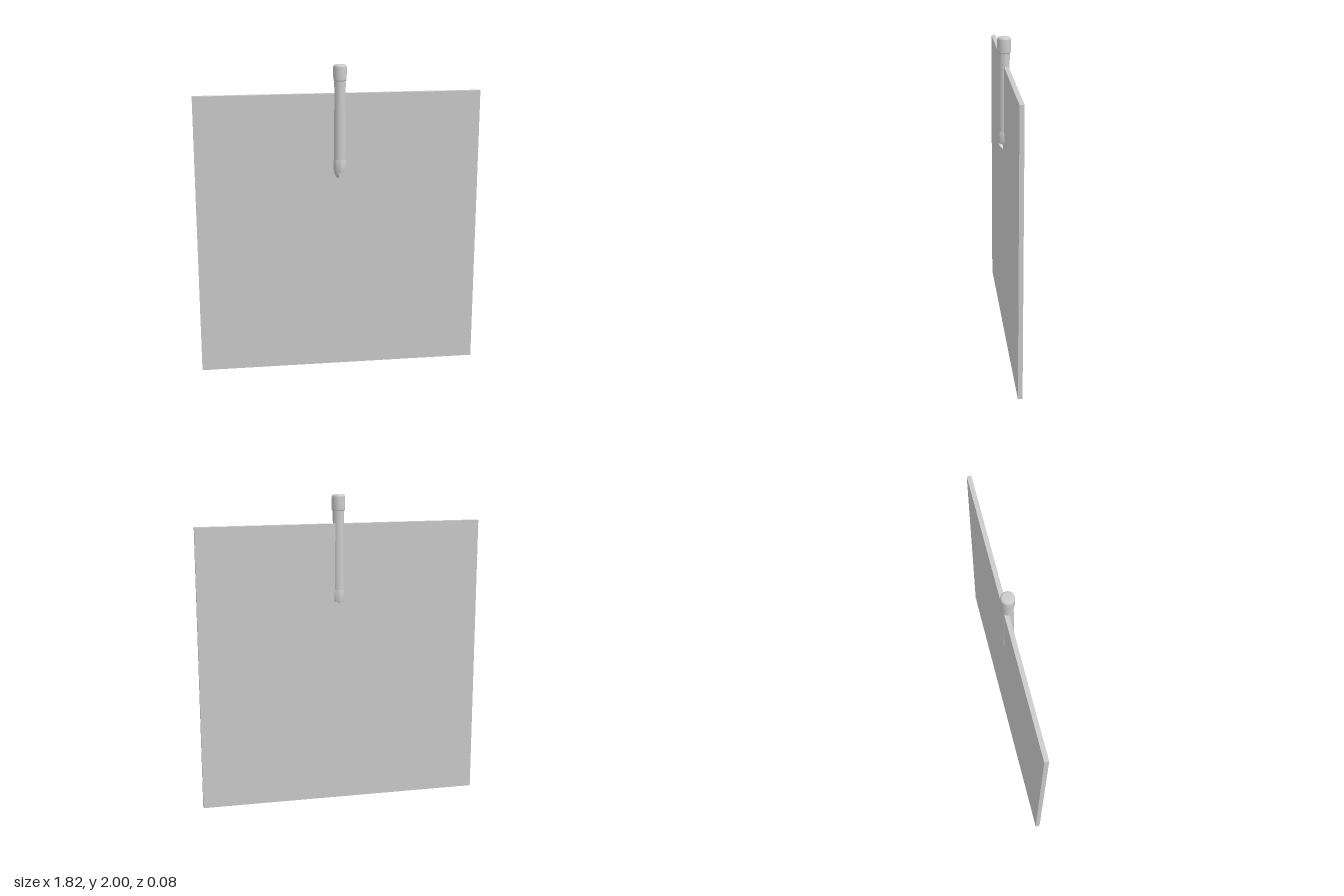
import * as THREE from 'three';

const grey = new THREE.MeshStandardMaterial({ color: 0xcccccc, side: THREE.DoubleSide });

function lathe(name, points, segments = 32, start = 0, sweep = Math.PI * 2) {
  const profile = points.map(([r, y]) => new THREE.Vector2(r, y));
  const mesh = new THREE.Mesh(new THREE.LatheGeometry(profile, segments, start, sweep), grey);
  mesh.name = name;
  return mesh;
}

export function createModel() {
  const model = new THREE.Group();
  model.name = 'panelOnHandle';

  // Thin square sheet standing upright
  const panel = new THREE.Mesh(new THREE.BoxGeometry(1.82, 1.82, 0.028), grey);
  panel.name = 'panel';
  panel.position.set(0, 0.91, -0.01);
  model.add(panel);

  // Slim round handle running through the top of the sheet
  const handle = new THREE.Group();
  handle.name = 'handle';
  handle.position.set(0.008, 0, 0.002);
  model.add(handle);

  handle.add(lathe('shaft', [
    [0.037, 1.34], [0.038, 1.42], [0.038, 1.55], [0.037, 1.7], [0.035, 1.82], [0.037, 1.91],
  ]));
  handle.add(lathe('cap', [
    [0.034, 1.9], [0.039, 1.9], [0.042, 1.908], [0.042, 1.985], [0.039, 1.996], [0.03, 2], [0, 2],
  ]));

  // Lower collar with shallow flutes
  const collar = lathe('collar', [
    [0, 1.322], [0.036, 1.322], [0.041, 1.326], [0.042, 1.36], [0.041, 1.396], [0.036, 1.402],
  ], 48);
  const p = collar.geometry.attributes.position;
  for (let i = 0; i < p.count; i++) {
    const flute = 0.98 + 0.02 * Math.cos(8 * Math.atan2(p.getX(i), p.getZ(i)));
    p.setX(i, p.getX(i) * flute);
    p.setZ(i, p.getZ(i) * flute);
  }
  collar.geometry.computeVertexNormals();
  handle.add(collar);

  // Small quarter-round tip hanging below the collar
  const tip = lathe('tip', [
    [0, 1.275], [0.01, 1.282], [0.02, 1.295], [0.027, 1.31], [0.03, 1.33],
  ], 8, Math.PI * 1.5, Math.PI / 2);
  tip.position.set(-0.01, 0, 0.005);
  handle.add(tip);

  return model;
}
